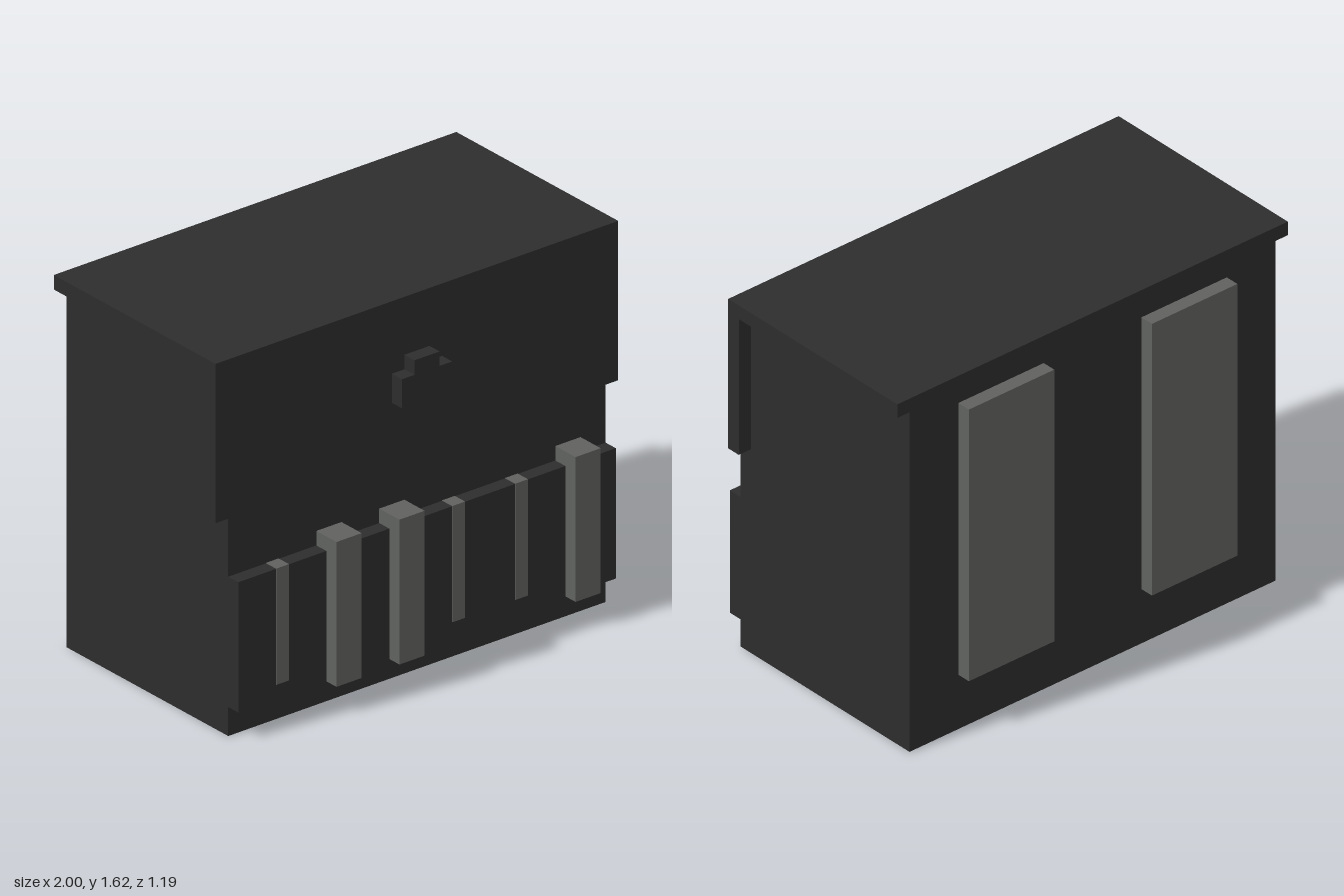
import * as THREE from 'three';

const U = 1 / 16; // block grid unit
const BACK = -8.5, FRONT = 7.5; // body depth in grid units

export function createModel() {
  const model = new THREE.Group();
  model.name = 'cabinet';
  const charcoal = new THREE.MeshStandardMaterial({ color: 0x2d2d2d });
  charcoal.name = 'charcoal';
  const grey = new THREE.MeshStandardMaterial({ color: 0x60625f });
  grey.name = 'grey';

  // Box from its minimum and maximum corners, in grid units
  function block(name, material, x0, x1, y0, y1, z0, z1) {
    const geometry = new THREE.BoxGeometry((x1 - x0) * U, (y1 - y0) * U, (z1 - z0) * U);
    const mesh = new THREE.Mesh(geometry, material);
    mesh.name = name;
    mesh.position.set((x0 + x1) / 2 * U, (y0 + y1) / 2 * U, (z0 + z1) / 2 * U);
    model.add(mesh);
  }

  // Main body and overhanging lid
  block('body', charcoal, -15, 15, 0, 25, BACK, FRONT);
  block('lid', charcoal, -16, 16, 25, 26, BACK, FRONT);

  // Front edges of the lid hanging down each side
  block('rightLidFlange', charcoal, -16, -15, 15, 25, FRONT - 1, FRONT);
  block('leftLidFlange', charcoal, 15, 16, 15, 25, FRONT - 1, FRONT);

  // Raised lower front panel
  block('lowerPanel', charcoal, -15, 15, 2, 11, FRONT, FRONT + 1);

  // Tall raised bars
  for (const x of [-8, -3, 11]) block('tallBar', grey, x, x + 2, 2, 12, FRONT, FRONT + 2);

  // Narrow inlaid strips, barely proud of the panel
  for (const x of [-12, 2, 7]) block('inlaidStrip', grey, x, x + 1, 3, 11.03, FRONT, FRONT + 1.03);

  // Rear plates
  for (const x of [-11, 4]) block('rearPlate', grey, x, x + 7, 4, 24, BACK - 1, BACK);

  // Stepped front latch
  const outline = [[-2, 19], [2, 19], [2, 21], [1, 21], [1, 22], [-1, 22], [-1, 21], [-2, 21]];
  const shape = new THREE.Shape(outline.map(([x, y]) => new THREE.Vector2(x * U, y * U)));
  const latch = new THREE.Mesh(
    new THREE.ExtrudeGeometry(shape, { depth: U, bevelEnabled: false }), charcoal);
  latch.name = 'latch';
  latch.position.z = FRONT * U;
  model.add(latch);

  return model;
}
